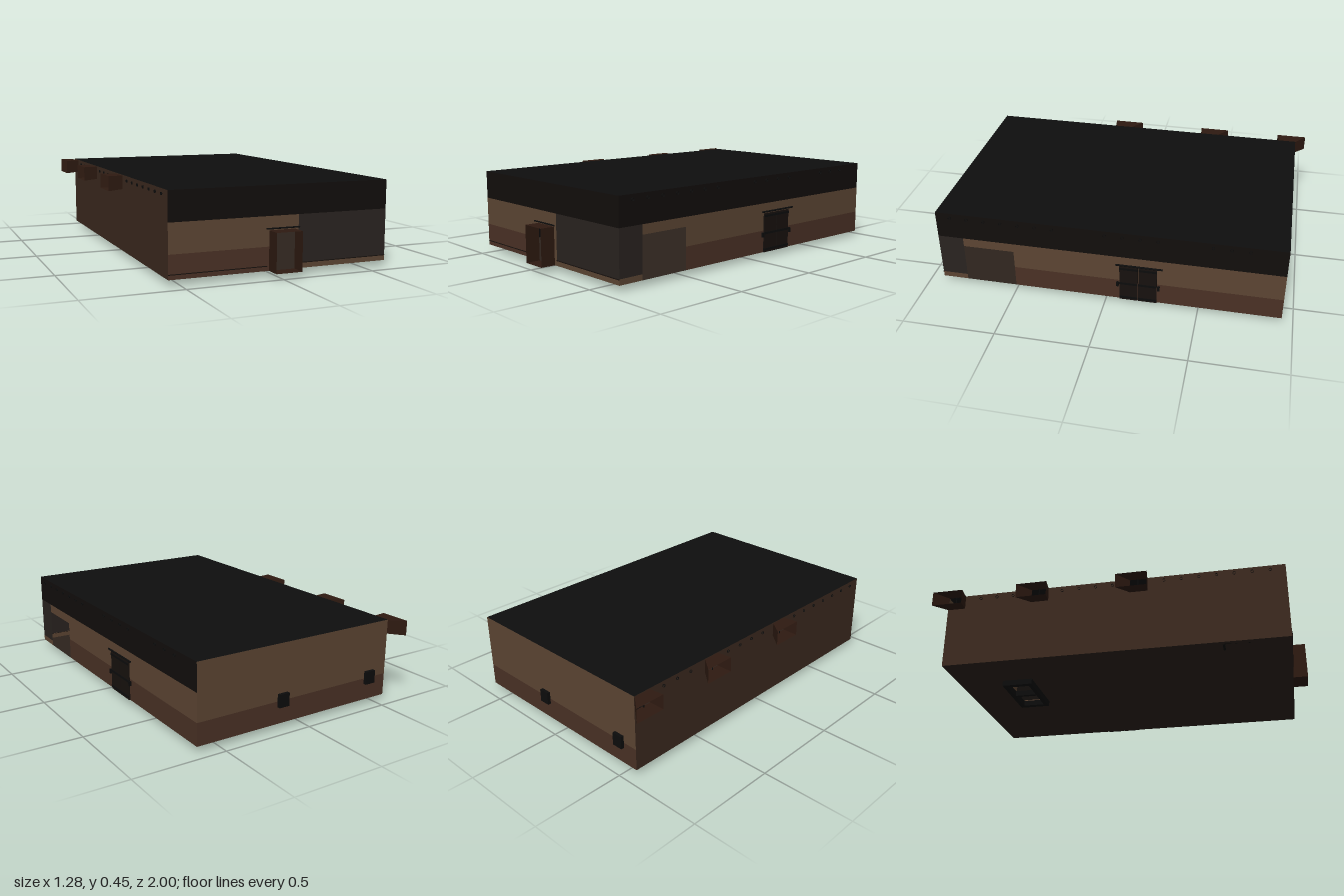
import * as THREE from 'three';

const X0 = -0.56, X1 = 0.625, Z0 = -0.94, Z1 = 0.92, Y0 = 0.03, Y1 = 0.45, BAND = 0.3;
const mat = (color) => new THREE.MeshStandardMaterial({ color, side: THREE.DoubleSide });
const M = {
  roof: mat(0x0e0e0e), band: mat(0x120e0c), wall: mat(0x5c4533), wallLow: mat(0x4a3125),
  rightWall: mat(0x3c2a1f), floor: mat(0x2c231c), glass: mat(0x292320), shaft: mat(0x2e1a11),
  iron: mat(0x0c0c0c), door: mat(0x17110e), rim: mat(0x33322f),
};

export function createModel() {
  const root = new THREE.Group();
  const group = (name) => {
    const g = new THREE.Group();
    g.name = name;
    root.add(g);
    return g;
  };
  const add = (name, geo, m, parent = root) => {
    const mesh = new THREE.Mesh(geo, m);
    mesh.name = name;
    parent.add(mesh);
    return mesh;
  };
  // box given by its two corners
  const box = (name, a, b, m, parent) => {
    const mesh = add(name, new THREE.BoxGeometry(b[0] - a[0], b[1] - a[1], b[2] - a[2]), m, parent);
    mesh.position.set((a[0] + b[0]) / 2, (a[1] + b[1]) / 2, (a[2] + b[2]) / 2);
    return mesh;
  };
  // round bar between two points
  const bar = (name, a, b, r, m, parent) => {
    const path = new THREE.LineCurve3(new THREE.Vector3(...a), new THREE.Vector3(...b));
    return add(name, new THREE.TubeGeometry(path, 1, r, 8), m, parent);
  };
  const rect = (Type, [u0, u1, v0, v1]) => new Type(
    [[u0, v0], [u1, v0], [u1, v1], [u0, v1]].map((p) => new THREE.Vector2(...p)));
  // flat rectangle with rectangular holes; axis is its normal, at is its position on it
  const panel = (name, axis, at, area, m, holes = [], parent = root) => {
    const s = rect(THREE.Shape, area);
    holes.forEach((h) => s.holes.push(rect(THREE.Path, h)));
    const mesh = add(name, new THREE.ShapeGeometry(s), m, parent);
    if (axis === 'x') mesh.rotation.y = -Math.PI / 2;
    if (axis === 'y') mesh.rotation.x = Math.PI / 2;
    mesh.position[axis] = at;
    return mesh;
  };
  // open four-sided tunnel between two loops of corners
  const tunnel = (name, a, b, m, parent) => {
    const pos = [];
    for (let i = 0; i < 4; i++) {
      const j = (i + 1) % 4;
      pos.push(...a[i], ...a[j], ...b[j], ...a[i], ...b[j], ...b[i]);
    }
    const geo = new THREE.BufferGeometry();
    geo.setAttribute('position', new THREE.Float32BufferAttribute(pos, 3));
    geo.computeVertexNormals();
    return add(name, geo, m, parent);
  };

  // roof, and floor with the hatch cut out
  panel('roof', 'y', Y1, [X0, X1, Z0, Z1], M.roof);
  const hatchHoles = [[-0.275, -0.15, -0.66, -0.54], [-0.13, 0.005, -0.66, -0.54]];
  panel('floor', 'y', Y0, [X0, X1, Z0, Z1], M.floor, hatchHoles);

  // front wall: entrance, corner window and dark upper band
  const front = group('frontWall');
  const split = 0.15;
  panel('frontLower', 'z', Z1, [X0, -0.04, Y0, split], M.wallLow, [], front);
  panel('frontUpper', 'z', Z1, [X0, -0.04, split, BAND], M.wall, [], front);
  panel('frontLintel', 'z', Z1, [-0.04, 0.1, 0.23, BAND], M.wall, [], front);
  panel('frontPost', 'z', Z1, [0.1, 0.12, Y0, BAND], M.wall, [], front);
  panel('frontSill', 'z', Z1, [0.12, X1, Y0, 0.06], M.wall, [], front);
  panel('frontWindow', 'z', Z1, [0.12, X1, 0.06, BAND], M.glass, [], front);
  panel('frontBand', 'z', Z1, [X0, X1, BAND, Y1], M.band, [], front);
  box('leftTrim', [X0, 0.052, Z1], [-0.05, 0.056, Z1 + 0.003], M.door, front);
  box('rightTrim', [0.12, 0.056, Z1], [X1, 0.06, Z1 + 0.003], M.door, front);

  // left wall: corner window, wide opening, brown wall and dark upper band
  const left = group('leftWall');
  panel('leftSill', 'x', X1, [0.78, Z1, Y0, 0.06], M.wall, [], left);
  panel('leftWindow', 'x', X1, [0.78, Z1, 0.06, BAND], M.glass, [], left);
  panel('openingLintel', 'x', X1, [0.5, 0.78, 0.25, BAND], M.wall, [], left);
  panel('leftLower', 'x', X1, [Z0, 0.5, Y0, split], M.wallLow, [], left);
  panel('leftUpper', 'x', X1, [Z0, 0.5, split, BAND], M.wall, [], left);
  panel('leftBand', 'x', X1, [Z0, Z1, BAND, Y1], M.band, [], left);

  // back wall with two wall plates
  panel('backLower', 'z', Z0, [X0, X1, Y0, split], M.wallLow);
  panel('backUpper', 'z', Z0, [X0, X1, split, Y1], M.wall);
  for (const x of [-0.445, 0.128]) {
    box('wallPlate', [x - 0.03, 0.12, Z0 - 0.018], [x + 0.03, 0.19, Z0 + 0.01], M.iron);
  }

  // right wall with three flared, skewed window shafts
  const shafts = [-0.94, -0.46, 0.09];
  panel('rightWall', 'x', X0, [Z0, Z1, Y0, Y1], M.rightWall,
    shafts.map((z) => [z + 0.004, z + 0.1, 0.372, 0.446]));
  for (const z of shafts) {
    const loop = (x, z0, z1, y0, y1) => [[x, y0, z0], [x, y0, z1], [x, y1, z1], [x, y1, z0]];
    tunnel('windowShaft', loop(X0, z + 0.004, z + 0.1, 0.372, 0.446),
      loop(-0.64, z - 0.06, z + 0.11, 0.365, 0.446), M.shaft);
    bar('windowBar', [X0 - 0.01, 0.372, z + 0.05], [X0 - 0.01, 0.446, z + 0.05], 0.003, M.iron);
  }

  // entrance passage with its rail
  const entry = group('entrance');
  const door = (z) => [[-0.04, Y0, z], [0.1, Y0, z], [0.1, 0.23, z], [-0.04, 0.23, z]];
  tunnel('passage', door(Z1), door(1), M.shaft, entry);
  bar('entranceRail', [-0.06, 0.24, Z1 + 0.012], [0.12, 0.24, Z1 + 0.012], 0.004, M.iron, entry);

  // double sliding door on the left wall
  const slide = group('slidingDoor');
  for (const [a, b] of [[-0.28, -0.182], [-0.178, -0.08]]) {
    box('doorLeaf', [X1 - 0.008, Y0, a], [X1 + 0.007, 0.245, b], M.door, slide);
    for (const y of [0.04, 0.13, 0.225]) {
      box('doorStrap', [X1, y, a], [X1 + 0.01, y + 0.012, b], M.iron, slide);
    }
  }
  bar('doorRail', [X1 + 0.01, 0.255, -0.31], [X1 + 0.01, 0.255, -0.06], 0.005, M.iron, slide);
  for (const z of [-0.29, -0.07]) {
    box('doorHandle', [X1, 0.115, z - 0.006], [X1 + 0.012, 0.14, z + 0.006], M.iron, slide);
  }

  // ceiling beams whose ends poke through both side walls
  const beams = group('ceilingBeams');
  for (let i = 0; i < 19; i++) {
    const z = 0.84 - i * 0.0935;
    if (shafts.some((s) => z > s - 0.01 && z < s + 0.11)) continue;
    bar('beam', [X0 - 0.006, 0.425, z], [X1 + 0.008, 0.425, z], 0.008, M.iron, beams);
  }

  // floor hatch: a shallow open frame below the floor
  const hatch = rect(THREE.Shape, [-0.305, 0.035, -0.685, -0.515]);
  hatchHoles.forEach((h) => hatch.holes.push(rect(THREE.Path, h)));
  const frame = add('hatchFrame',
    new THREE.ExtrudeGeometry(hatch, { depth: Y0, bevelEnabled: false }), M.iron);
  frame.rotation.x = Math.PI / 2;
  frame.position.y = Y0;
  panel('hatchRim', 'y', 0.0005, [-0.305, 0.035, -0.685, -0.515], M.rim,
    [[-0.29, 0.02, -0.672, -0.528]]);

  // small table on splayed legs, seen through the entrance
  const table = group('table');
  box('tableTop', [-0.02, 0.083, 0.58], [0.09, 0.091, 0.7], M.iron, table);
  for (const z of [0.6, 0.68]) {
    for (const s of [-1, 1]) {
      bar('tableLeg', [0.035 + s * 0.033, 0.085, z], [0.035 + s * 0.046, Y0, z], 0.004, M.iron, table);
    }
    bar('tableBrace', [-0.01, 0.056, z], [0.08, 0.056, z], 0.004, M.iron, table);
  }

  // hearth against the right wall, facing the wide opening
  const hearth = group('hearth');
  box('hearthBack', [X0 + 0.01, Y0, 0.58], [X0 + 0.03, 0.13, 0.7], M.iron, hearth);
  for (const z of [0.57, 0.7]) {
    box('hearthSide', [X0 + 0.01, Y0, z], [X0 + 0.1, 0.13, z + 0.012], M.iron, hearth);
  }
  box('hearthTop', [X0 + 0.01, 0.125, 0.565], [X0 + 0.11, 0.135, 0.717], M.iron, hearth);

  // low rail across the room
  bar('roomRail', [-0.1, 0.13, -0.85], [0.16, 0.13, -0.85], 0.004, M.iron);
  return root;
}
